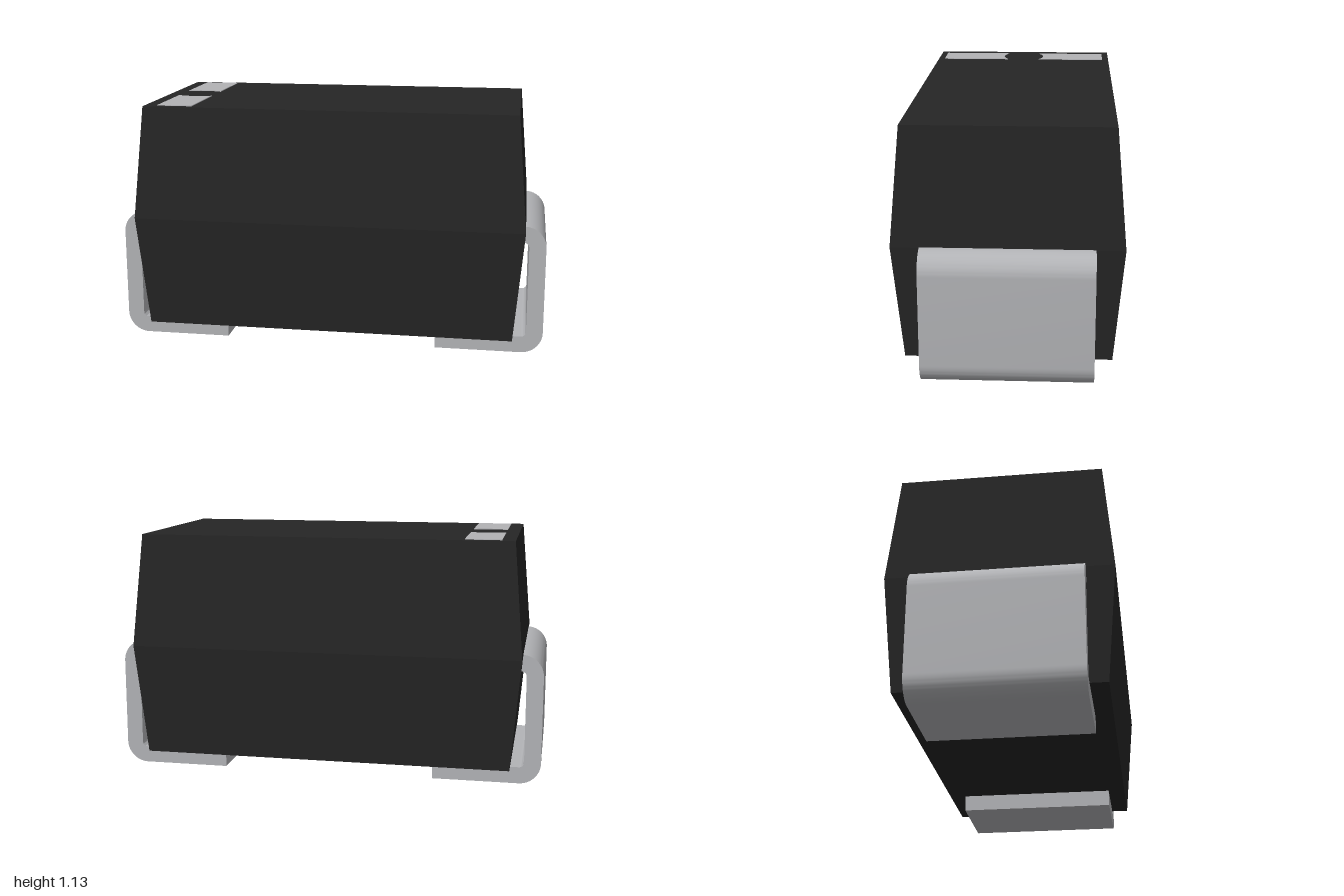
import * as THREE from 'three';
import { toCreasedNormals } from 'three/addons/utils/BufferGeometryUtils.js';

const material = (name, color) => {
  const m = new THREE.MeshStandardMaterial({ color });
  m.name = name;
  return m;
};

// Moulded case: a box with a waist line, tapering towards top and bottom
function caseGeometry() {
  const box = new THREE.BoxGeometry(1.81, 1.045, 1, 1, 2, 1);
  const p = box.attributes.position;
  for (let i = 0; i < p.count; i++) {
    if (Math.abs(p.getY(i)) > 0.1) {
      p.setX(i, Math.sign(p.getX(i)) * 0.86);
      p.setZ(i, Math.sign(p.getZ(i)) * 0.455);
    }
  }
  const flat = box.toNonIndexed();
  flat.computeVertexNormals();
  return flat.translate(0, 0.6025, 0);
}

// Folded metal strip on the +x end, extruded across the width
function leadGeometry() {
  const width = 0.75, t = 0.077, r = 0.1, ri = r - t, top = 0.605;
  const s = new THREE.Shape();
  s.moveTo(0.5, 0);
  s.lineTo(1 - r, 0);
  s.absarc(1 - r, r, r, -Math.PI / 2, 0, false);
  s.lineTo(1, top - r);
  s.absarc(1 - r, top - r, r, 0, Math.PI / 2, false);
  s.lineTo(0.82, top);
  s.lineTo(0.82, top - t);
  s.lineTo(1 - r, top - t);
  s.absarc(1 - r, top - r, ri, Math.PI / 2, 0, true);
  s.lineTo(1 - t, r);
  s.absarc(1 - r, r, ri, 0, -Math.PI / 2, true);
  s.lineTo(0.5, t);
  s.closePath();
  const g = new THREE.ExtrudeGeometry(s, { depth: width, bevelEnabled: false, curveSegments: 10 });
  return toCreasedNormals(g.translate(0, 0, -width / 2), 0.6);
}

// Half of the polarity band, with a curved inner end
function bandGeometry() {
  const s = new THREE.Shape();
  s.moveTo(-0.0825, 0.083);
  s.quadraticCurveTo(0, 0.127, 0.0825, 0.083);
  s.lineTo(0.0825, 0.423);
  s.lineTo(-0.0825, 0.423);
  s.closePath();
  const g = new THREE.ExtrudeGeometry(s, { depth: 0.004, bevelEnabled: false, curveSegments: 12 });
  return g.rotateX(-Math.PI / 2);
}

export function createModel() {
  const group = new THREE.Group();
  const black = material('black plastic', 0x252525);
  const metal = material('tinned metal', 0xb2b3b6);
  const grey = material('band grey', 0xb2b2b5);

  const add = (name, geometry, mat, parent = group) => {
    const mesh = new THREE.Mesh(geometry, mat);
    mesh.name = name;
    parent.add(mesh);
    return mesh;
  };

  add('case', caseGeometry(), black);

  // Matching leads at both ends
  const lead = leadGeometry();
  add('leftLead', lead, metal);
  add('rightLead', lead, metal).rotation.y = Math.PI;

  // Polarity band on the top of the case
  const band = new THREE.Group();
  band.name = 'polarityBand';
  band.position.set(-0.717, 1.124, 0);
  const half = bandGeometry();
  add('backBandHalf', half, grey, band);
  add('frontBandHalf', half, grey, band).rotation.y = Math.PI;
  group.add(band);

  return group;
}
